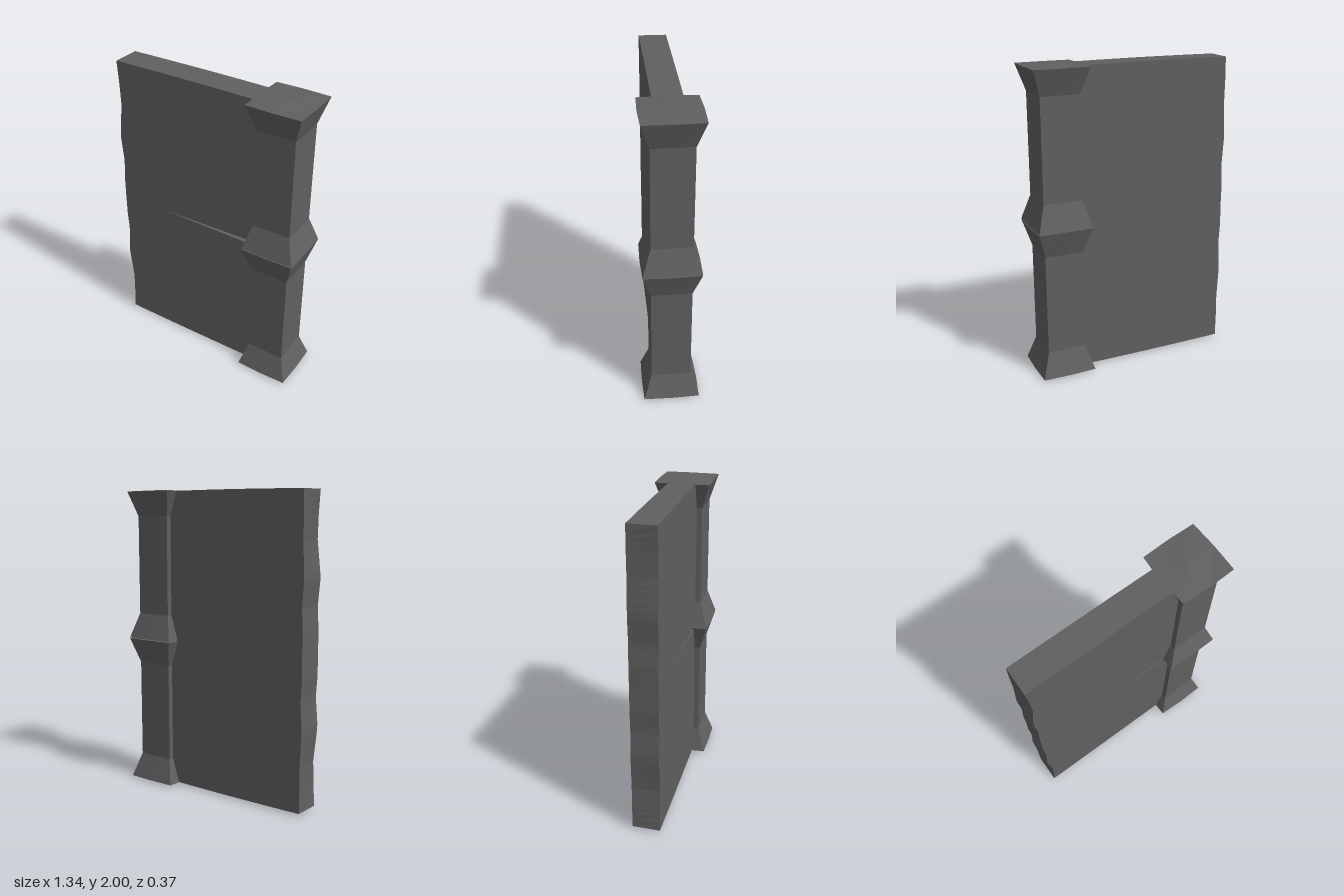
import * as THREE from 'three';

const stone = new THREE.MeshStandardMaterial({ color: 0x606060, flatShading: true });
stone.name = 'dark stone';

// Piecewise-linear lookup through [key, value] pairs
function lerpTable(table, k) {
  for (let i = 1; i < table.length; i++) {
    const [a, va] = table[i - 1], [b, vb] = table[i];
    if (k <= b) return va + (vb - va) * Math.max(0, (k - a) / (b - a));
  }
  return table[table.length - 1][1];
}

// Reshape a box by a rule; t runs 0..1 away from the middle seam at y = 1
function shapedBox(name, segments, side, rule) {
  const geo = new THREE.BoxGeometry(1, 1, 1, ...segments);
  const pos = geo.attributes.position;
  for (let i = 0; i < pos.count; i++) {
    const t = side * pos.getY(i) + 0.5;
    const [x, h, z] = rule(pos.getX(i) * 2, t, pos.getZ(i) * 2);
    pos.setXYZ(i, x, 1 + side * h, z);
  }
  geo.computeVertexNormals();
  const mesh = new THREE.Mesh(geo, stone);
  mesh.name = name;
  return mesh;
}

// Worn outer edge of the slab: distance from seam -> x
const edgeFront = [[0, -0.665], [0.16, -0.664], [0.28, -0.655], [0.47, -0.672], [0.7, -0.646], [0.85, -0.65], [1, -0.66]];
const edgeBack = [[0, -0.66], [0.16, -0.662], [0.28, -0.654], [0.47, -0.666], [0.7, -0.655], [0.85, -0.657], [1, -0.655]];

function slabRule(u, t, v) {
  const edge = lerpTable(v > 0 ? edgeFront : edgeBack, t);
  const x = edge + (0.45 - edge) * (u + 1) / 2;
  // the seam opens in a narrow wedge on the front, towards the post
  const gap = v > 0 ? 0.013 * Math.min(1, Math.max(0, (x + 0.36) / 0.69)) : 0;
  const outer = 0.986 + 0.004 * Math.cos(u * 1.5);
  return [x, gap + (outer - gap) * t, v * 0.09];
}

// Post: flared ends, straight shaft, slightly domed caps
const levels = [0.003, 0.17, 0.825, 0.988];
function postRule(u, t, v) {
  const row = Math.round(t * 3);
  const end = row === 0 || row === 3;
  const dome = 1 - Math.max(Math.abs(u), Math.abs(v));
  let h = levels[row];
  if (row === 3) h += 0.012 * dome;
  if (row === 0) h -= 0.003 * dome;
  const half = end ? 0.178 : 0.126;
  const bulge = end ? 0.005 : 0.001;
  return [0.489 + u * (half - bulge * Math.abs(v) + bulge * 0.6), h,
    v * (half - bulge * Math.abs(u) + bulge)];
}

export function createModel() {
  const model = new THREE.Group();
  model.name = 'stoneWall';
  for (const [label, side] of [['upper', 1], ['lower', -1]]) {
    const section = new THREE.Group();
    section.name = label + 'Section';
    section.add(
      shapedBox(label + 'Slab', [8, 20, 1], side, slabRule),
      shapedBox(label + 'Post', [2, 3, 2], side, postRule));
    model.add(section);
  }
  return model;
}
